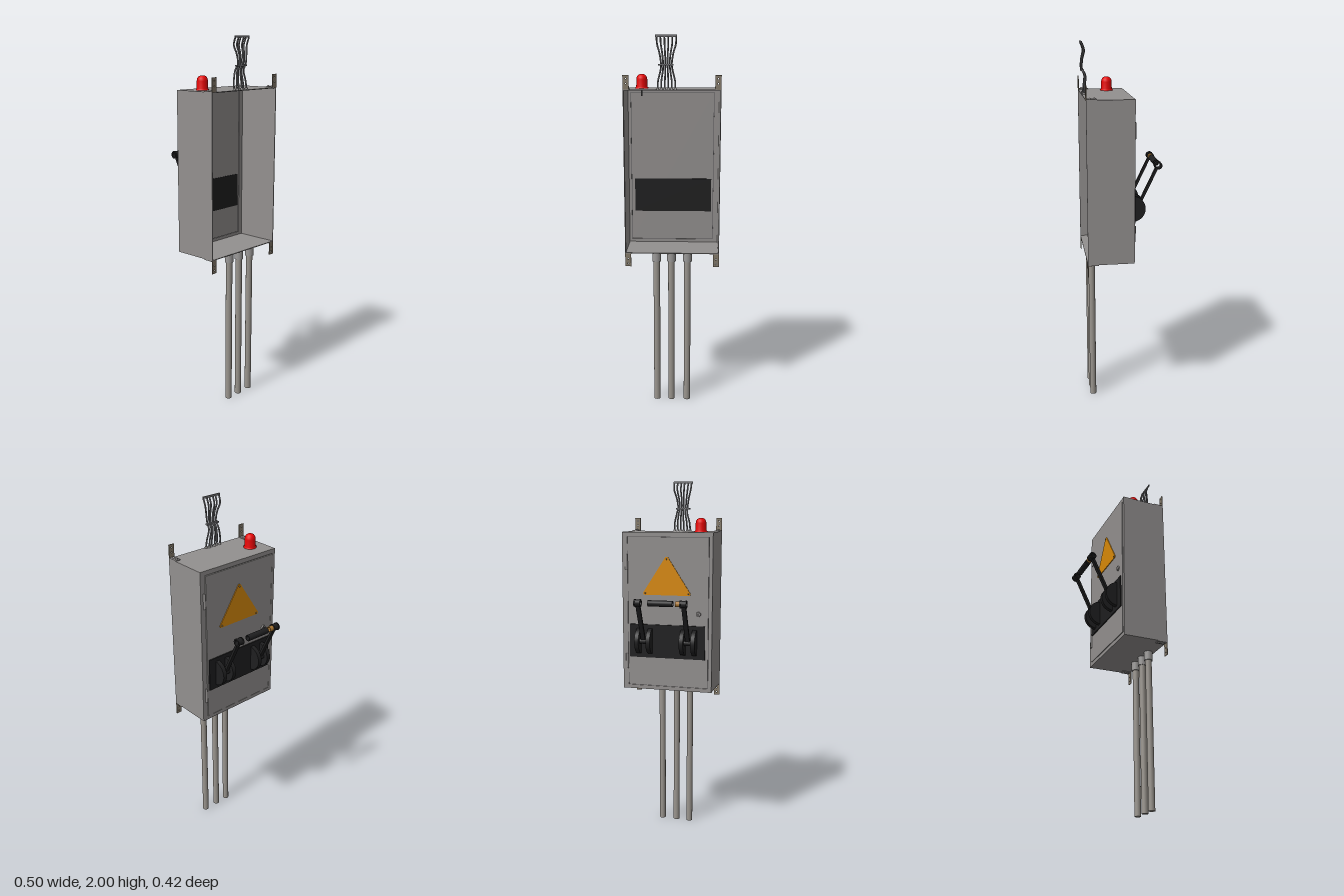
import * as THREE from 'three';

const mat = (name, color, side = THREE.FrontSide) => {
  const m = new THREE.MeshStandardMaterial({ color, side });
  m.name = name;
  return m;
};

export function createModel() {
  const grey = mat('cabinet grey', 0x93908f);
  const steel = mat('fitting steel', 0x9c9a99);
  const pipeGrey = mat('weathered pipe', 0x9a958e);
  const rusty = mat('bracket metal', 0x857b6b);
  const black = mat('black plastic', 0x1f1f20);
  const dark = mat('seam grey', 0x59585a);
  const cableGrey = mat('cable grey', 0x77777a);
  const red = mat('lamp red', 0xf40606);
  const orange = mat('warning orange', 0xd98a08);
  const brass = mat('brass', 0xae7a34, THREE.DoubleSide);

  const model = new THREE.Group();
  model.name = 'electricalCabinet';

  const add = (name, geo, material, x = 0, y = 0, z = 0, parent = model) => {
    const m = new THREE.Mesh(geo, material);
    m.name = name;
    m.position.set(x, y, z);
    parent.add(m);
    return m;
  };
  // Box given by its extents
  const slab = (name, material, x0, x1, y0, y1, z0, z1, parent) =>
    add(name, new THREE.BoxGeometry(x1 - x0, y1 - y0, z1 - z0), material,
      (x0 + x1) / 2, (y0 + y1) / 2, (z0 + z1) / 2, parent);
  // Cylinder lying along x
  const barX = (r, len) => new THREE.CylinderGeometry(r, r, len, 20).rotateZ(Math.PI / 2);
  // Hollow tube lying along x, centred
  const tubeX = (ro, ri, len) => {
    const h = len / 2;
    const pts = [[ri, -h], [ro, -h], [ro, -h], [ro, h], [ro, h], [ri, h], [ri, h], [ri, -h]];
    return new THREE.LatheGeometry(pts.map(p => new THREE.Vector2(...p)), 24).rotateZ(Math.PI / 2);
  };

  // Cabinet shell, open towards +z
  const X = 0.252, Y0 = 0.862, Y1 = 1.73, Z0 = -0.045, Z1 = 0.204, T = 0.004;
  const shell = new THREE.Group();
  shell.name = 'cabinetShell';
  model.add(shell);
  slab('sideLeft', grey, X - T, X, Y0, Y1, Z0, Z1, shell);
  slab('sideRight', grey, -X, -X + T, Y0, Y1, Z0, Z1, shell);
  slab('topWall', grey, -X + T, X - T, Y1 - T, Y1, Z0, Z1, shell);
  slab('bottomWall', grey, -X + T, X - T, Y0, Y0 + T, Z0, Z1, shell);
  // Rim around the door
  slab('rimLeft', grey, 0.222, X - T, Y0 + T, Y1 - T, Z0, Z0 + 0.012, shell);
  slab('rimRight', grey, -X + T, -0.234, Y0 + T, Y1 - T, Z0, Z0 + 0.012, shell);
  slab('rimTop', grey, -0.234, 0.222, 1.706, Y1 - T, Z0, Z0 + 0.012, shell);
  slab('rimBottom', grey, -0.234, 0.222, Y0 + T, 0.883, Z0, Z0 + 0.012, shell);

  // Door with a thin dark gap around it
  slab('doorGap', dark, -0.234, 0.222, 0.883, 1.706, -0.04, -0.037);
  slab('door', grey, -0.231, 0.219, 0.886, 1.703, -0.047, -0.035);
  for (const y of [1.02, 1.57])
    add('hinge', new THREE.CylinderGeometry(0.007, 0.007, 0.085, 12), grey, 0.229, y, -0.046);
  add('doorLock', new THREE.CylinderGeometry(0.012, 0.014, 0.01, 20).rotateX(-Math.PI / 2), grey, -0.177, 1.295, -0.05);
  slab('lockSlot', black, -0.179, -0.175, 1.288, 1.302, -0.0562, -0.055);

  // Switch panel, seen from both sides of the door
  slab('switchPanel', black, -0.215, 0.21, 1.045, 1.23, -0.053, -0.032);

  // Warning triangle with clipped corners and rivets
  const tri = new THREE.Shape([
    [-0.134, 1.402], [-0.128, 1.393], [0.128, 1.393], [0.134, 1.402], [0.006, 1.6], [-0.006, 1.6]
  ].map(p => new THREE.Vector2(...p)));
  add('warningPlate', new THREE.ExtrudeGeometry(tri, { depth: 0.004, bevelEnabled: false }), orange, 0, 0, -0.051);
  for (const [x, y] of [[-0.12, 1.402], [0.12, 1.402], [0, 1.588]])
    add('rivet', new THREE.SphereGeometry(0.004, 10, 8), rusty, x, y, -0.051);

  // Lever handle: two forks, two arms, hollow hubs and grip
  const handle = new THREE.Group();
  handle.name = 'leverHandle';
  model.add(handle);
  const pivot = new THREE.Vector2(-0.08, 1.14), end = new THREE.Vector2(-0.187, 1.365);
  const armLen = pivot.distanceTo(end) - 0.016;
  const tilt = Math.atan2(end.x - pivot.x, end.y - pivot.y);
  for (const x of [-0.127, 0.123]) {
    for (const s of [-1, 1]) {
      const cheek = new THREE.CylinderGeometry(0.071, 0.071, 0.023, 28, 1, false, Math.PI / 2, Math.PI);
      add('forkCheek', cheek.rotateZ(Math.PI / 2), black, x + s * 0.032, 1.138, -0.045, handle);
    }
    add('axle', barX(0.014, 0.07), black, x, pivot.y, pivot.x, handle);
    const arm = new THREE.BoxGeometry(0.024, armLen, 0.013).translate(0, armLen / 2, 0);
    add('leverArm', arm, black, x, pivot.y, pivot.x, handle).rotation.x = tilt;
    add('hub', tubeX(0.019, 0.013, 0.036), black, x, end.y, end.x, handle);
    for (const s of [-1, 1])
      add('hubFlange', tubeX(0.021, 0.013, 0.006), black, x + s * 0.015, end.y, end.x, handle);
  }
  add('grip', tubeX(0.0165, 0.013, 0.135), black, -0.002, end.y, end.x, handle);
  add('gripSleeve', tubeX(0.015, 0.012, 0.026), brass, -0.098, end.y, end.x, handle);

  // Signal lamp
  const lampProfile = [[0.034, 0], [0.034, 0.005], [0.03, 0.007], [0.029, 0.046], [0.027, 0.058], [0.02, 0.068], [0.01, 0.073], [0, 0.074]];
  add('signalLamp', new THREE.LatheGeometry(lampProfile.map(p => new THREE.Vector2(...p)), 28), red, -0.165, Y1, 0.053);
  add('lampStem', new THREE.CylinderGeometry(0.004, 0.004, 0.04, 10), dark, -0.165, Y1 - 0.02, 0.053);

  // Corner mounting brackets with bolts
  const tab = new THREE.Shape();
  tab.moveTo(-0.016, 0).lineTo(0.016, 0).lineTo(0.016, 0.072).lineTo(-0.016, 0.072).closePath();
  for (const y of [0.03, 0.055]) tab.holes.push(new THREE.Path().absarc(0, y, 0.0035, 0, Math.PI * 2, true));
  const tabGeo = new THREE.ExtrudeGeometry(tab, { depth: 0.004, bevelEnabled: false, curveSegments: 8 });
  for (const sx of [-1, 1]) for (const top of [true, false]) {
    const b = new THREE.Group();
    b.name = 'mountBracket';
    b.position.set(sx * 0.236, top ? Y1 : Y0, 0);
    b.rotation.z = top ? 0 : Math.PI;
    model.add(b);
    add('bracketTab', tabGeo, rusty, 0, 0, 0.2, b);
    slab('bracketFoot', grey, -0.016, 0.016, 0, 0.004, 0.148, 0.2, b);
    for (const z of [0.161, 0.185])
      add('bolt', new THREE.SphereGeometry(0.007, 12, 8), grey, 0, 0.004, z, b);
  }

  // Conduit pipes with couplings
  for (const x of [-0.084, -0.004, 0.083]) {
    add('conduitPipe', new THREE.CylinderGeometry(0.0178, 0.0178, Y0, 20), pipeGrey, x, Y0 / 2, 0.17);
    add('pipeCoupling', new THREE.CylinderGeometry(0.0235, 0.0235, 0.05, 20), steel, x, Y0 - 0.025, 0.17);
  }

  // Cable bundle, gathered by a clip and spread along a bar at the top
  const N = 6;
  for (let i = 0; i < N; i++) {
    const u = i / (N - 1) - 0.5;
    const pts = [[0.09, Y1 - 0.004, 0.19], [0.088, 1.77, 0.185], [0.06, 1.83, 0.182], [0.055, 1.86, 0.198],
      [0.07, 1.91, 0.196], [0.095, 1.955, 0.187], [0.1, 1.992, 0.199]];
    const curve = new THREE.CatmullRomCurve3(pts.map(([w, y, z]) =>
      new THREE.Vector3(-0.028 + u * w, y, z + (i % 2) * 0.004)));
    add('cable', new THREE.TubeGeometry(curve, 28, 0.0045, 7), cableGrey);
    add('cableGland', new THREE.CylinderGeometry(0.007, 0.008, 0.01, 10), steel, -0.028 + u * 0.09, Y1 + 0.004, 0.19 + (i % 2) * 0.004);
  }
  slab('cableClip', cableGrey, -0.07, 0.008, 1.849, 1.857, 0.19, 0.205);
  slab('cableBar', cableGrey, -0.085, 0.025, 1.99, 2.0, 0.199, 0.205);

  return model;
}
